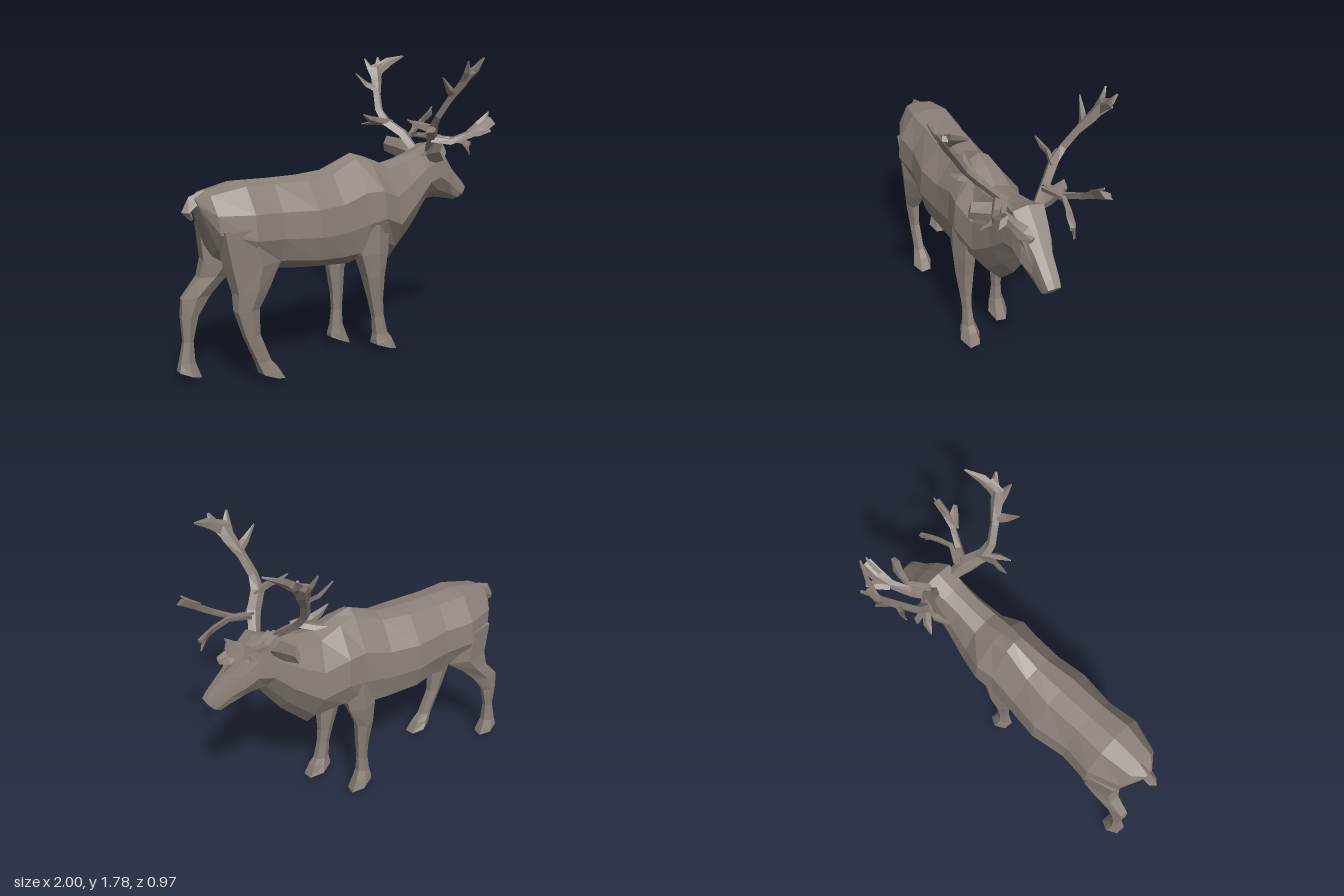
import * as THREE from 'three';

const coat = new THREE.MeshStandardMaterial({ color: 0x8a8078 });
coat.name = 'greyBrownCoat';

// Closed faceted skin over a list of rings with equal point counts.
function loft(name, rings) {
  const tris = [];
  const n = rings[0].length;
  for (let i = 0; i < rings.length - 1; i++) {
    for (let j = 0; j < n; j++) {
      const k = (j + 1) % n;
      const a = rings[i][j], b = rings[i][k], c = rings[i + 1][k], d = rings[i + 1][j];
      tris.push([a, b, c], [a, c, d]);
    }
  }
  const first = rings[0], last = rings[rings.length - 1];
  for (let j = 1; j < n - 1; j++) {
    tris.push([first[0], first[j + 1], first[j]], [last[0], last[j], last[j + 1]]);
  }
  // Turn every face outward, using the signed volume
  let volume = 0;
  for (const [a, b, c] of tris) volume += a.dot(b.clone().cross(c));
  const pos = [];
  for (const [a, b, c] of tris) {
    for (const p of volume < 0 ? [a, c, b] : [a, b, c]) pos.push(p.x, p.y, p.z);
  }
  const geo = new THREE.BufferGeometry();
  geo.setAttribute('position', new THREE.Float32BufferAttribute(pos, 3));
  geo.computeVertexNormals();
  const mesh = new THREE.Mesh(geo, coat);
  mesh.name = name;
  return mesh;
}

// Trunk section: top point, bottom point, half width, upper and lower fullness.
function trunkRing([xt, yt, xb, yb, w, up, low]) {
  const half = [[0.04, up], [0.32, 0.93], [0.6, 1], [0.85, low]];
  const at = (t, z) => new THREE.Vector3(xt + (xb - xt) * t, yt + (yb - yt) * t, z * w);
  return [
    at(0, 0), ...half.map(([t, z]) => at(t, z)),
    at(1, 0), ...half.map(([t, z]) => at(t, -z)).reverse(),
  ];
}

// Leg from level six-sided sections: back x, front x, y, centre z, half depth, slope.
function leg(name, side, sections) {
  return loft(name, sections.map(([x0, x1, y, z, hz, slope = 0]) => {
    const cx = (x0 + x1) / 2, hx = (x1 - x0) / 2;
    return [[1, 0.45], [0.1, 1], [-0.9, 0.55], [-1, -0.45], [-0.1, -1], [0.9, -0.55]].map(
      ([u, v]) => new THREE.Vector3(cx + u * hx, y + slope * u * hx, side * (z + v * hz)));
  }));
}

// Flattened tapering branch: points [x, y, z, half width], broad across its normal.
function branch(name, side, normal, thick, pts) {
  const p = pts.map(([x, y, z]) => new THREE.Vector3(x, y, z * side));
  const nrm = new THREE.Vector3(normal[0], normal[1], normal[2] * side);
  return loft(name, p.map((c, i) => {
    const t = p[Math.min(i + 1, p.length - 1)].clone().sub(p[Math.max(i - 1, 0)]).normalize();
    const s = t.clone().cross(nrm).normalize();
    const m = s.clone().cross(t);
    const w = pts[i][3];
    const h = Math.min(thick, w);
    return [[w, 0], [0, h], [-w, 0], [0, -h]].map(
      ([a, b]) => c.clone().addScaledVector(s, a).addScaledVector(m, b));
  }));
}

function antler(side) {
  const g = new THREE.Group();
  g.name = side > 0 ? 'leftAntler' : 'rightAntler';
  const add = (name, normal, thick, pts) => g.add(branch(name, side, normal, thick, pts));
  const out = [0, -0.55, 0.83];
  // Main beam and its palm
  add('mainBeam', out, 0.022, [
    [0.64, 1.2, 0.07, 0.035], [0.6, 1.3, 0.14, 0.04], [0.53, 1.37, 0.22, 0.04],
    [0.52, 1.44, 0.28, 0.03], [0.55, 1.54, 0.34, 0.028], [0.59, 1.63, 0.4, 0.04],
    [0.61, 1.69, 0.435, 0.045], [0.67, 1.73, 0.44, 0.02]]);
  add('palmRearTine', out, 0.012, [
    [0.59, 1.64, 0.41, 0.035], [0.575, 1.7, 0.45, 0.025], [0.555, 1.76, 0.48, 0.006]]);
  add('palmMiddleTine', out, 0.012, [
    [0.61, 1.67, 0.42, 0.04], [0.65, 1.71, 0.45, 0.03], [0.665, 1.765, 0.48, 0.008]]);
  add('palmFrontTine', out, 0.012, [
    [0.61, 1.68, 0.43, 0.04], [0.7, 1.74, 0.41, 0.03], [0.79, 1.775, 0.37, 0.006]]);
  add('upperBackTine', out, 0.012, [
    [0.56, 1.57, 0.36, 0.03], [0.5, 1.6, 0.39, 0.022], [0.43, 1.67, 0.41, 0.004]]);
  // Backward tines low on the beam
  add('lowerBackTine', [0, 0.5, 0.85], 0.015, [
    [0.56, 1.36, 0.2, 0.025], [0.45, 1.38, 0.23, 0.028], [0.4, 1.395, 0.22, 0.02],
    [0.34, 1.425, 0.21, 0.004]]);
  add('lowerBackPoint', [0, 0.9, 0.4], 0.012, [
    [0.52, 1.37, 0.23, 0.025], [0.46, 1.36, 0.28, 0.025], [0.4, 1.355, 0.31, 0.004]]);
  // Forward tines over the face
  add('browTine', [0, 0.75, 0.65], 0.018, [
    [0.6, 1.29, 0.13, 0.035], [0.7, 1.27, 0.19, 0.028], [0.8, 1.31, 0.245, 0.028],
    [0.88, 1.355, 0.27, 0.045], [0.955, 1.4, 0.275, 0.045]]);
  add('browTineUpperPoint', [0, 0.6, 0.8], 0.01, [
    [0.87, 1.36, 0.26, 0.03], [0.92, 1.4, 0.26, 0.022], [0.955, 1.445, 0.26, 0.004]]);
  add('browTineOuterPoint', [0, 0.85, 0.5], 0.01, [
    [0.8, 1.31, 0.25, 0.03], [0.85, 1.32, 0.3, 0.03], [0.885, 1.34, 0.35, 0.012]]);
  add('faceTine', [0, 0.7, 0.7], 0.016, [
    [0.63, 1.29, 0.11, 0.03], [0.74, 1.28, 0.17, 0.022], [0.83, 1.265, 0.15, 0.03],
    [0.89, 1.25, 0.13, 0.04], [0.94, 1.235, 0.11, 0.02]]);
  add('faceTineLowerPoint', [0, 0.5, 0.85], 0.01, [
    [0.84, 1.265, 0.15, 0.025], [0.9, 1.22, 0.14, 0.025], [0.93, 1.165, 0.13, 0.005]]);
  return g;
}

export function createModel() {
  const model = new THREE.Group();
  model.name = 'deer';

  // Trunk, neck and head in one skin, rump to nose
  model.add(loft('bodyAndHead', [
    [-0.94, 1.07, -0.91, 0.95, 0.05, 0.5, 0.6],
    [-0.88, 1.1, -0.84, 0.74, 0.15, 0.55, 0.6],
    [-0.68, 1.14, -0.68, 0.64, 0.22, 0.5, 0.75],
    [-0.5, 1.135, -0.5, 0.62, 0.2, 0.5, 0.8],
    [-0.28, 1.135, -0.28, 0.59, 0.23, 0.45, 0.85],
    [-0.1, 1.15, -0.08, 0.57, 0.205, 0.4, 0.85],
    [0.08, 1.23, 0.08, 0.56, 0.195, 0.3, 0.85],
    [0.18, 1.2, 0.22, 0.62, 0.21, 0.35, 0.75],
    [0.31, 1.15, 0.38, 0.55, 0.165, 0.5, 0.5],
    [0.45, 1.175, 0.55, 0.72, 0.13, 0.55, 0.5],
    [0.56, 1.2, 0.67, 0.89, 0.115, 0.65, 0.5],
    [0.68, 1.25, 0.74, 0.895, 0.105, 0.85, 0.6],
    [0.78, 1.165, 0.8, 0.885, 0.095, 0.75, 0.6],
    [0.86, 1.075, 0.87, 0.87, 0.062, 0.8, 0.75],
    [0.965, 0.975, 0.92, 0.86, 0.052, 0.8, 0.8],
    [0.995, 0.94, 0.94, 0.87, 0.045, 0.8, 0.7],
  ].map(trunkRing)));

  // Tail
  model.add(branch('tail', 1, [0, 0, 1], 0.035, [
    [-0.86, 1.06, 0, 0.05], [-0.94, 1.03, 0, 0.055], [-0.98, 0.995, 0, 0.03], [-0.95, 0.955, 0, 0.01]]));

  // Legs, caught in mid stride
  model.add(leg('leftForeleg', 1, [
    [0.02, 0.26, 0.82, 0.12, 0.08], [0.04, 0.25, 0.64, 0.13, 0.07], [0.09, 0.23, 0.5, 0.13, 0.06],
    [0.135, 0.225, 0.34, 0.13, 0.04], [0.16, 0.235, 0.24, 0.13, 0.032], [0.17, 0.26, 0.13, 0.13, 0.04],
    [0.165, 0.29, 0.09, 0.13, 0.052], [0.165, 0.325, 0.04, 0.13, 0.066, -0.35]]));
  model.add(leg('rightForeleg', -1, [
    [-0.02, 0.22, 0.82, 0.12, 0.08], [0, 0.18, 0.64, 0.13, 0.07], [0.01, 0.12, 0.5, 0.13, 0.055],
    [0.035, 0.11, 0.34, 0.125, 0.04], [0.04, 0.105, 0.24, 0.125, 0.032], [0.03, 0.11, 0.14, 0.125, 0.04],
    [0.02, 0.13, 0.09, 0.13, 0.052], [0.02, 0.165, 0.035, 0.13, 0.062, -0.45]]));
  model.add(leg('leftHindLeg', 1, [
    [-0.86, -0.54, 0.9, 0.12, 0.09], [-0.82, -0.5, 0.7, 0.12, 0.085], [-0.78, -0.58, 0.55, 0.13, 0.065],
    [-0.78, -0.64, 0.45, 0.135, 0.045], [-0.73, -0.635, 0.3, 0.135, 0.035], [-0.66, -0.57, 0.14, 0.135, 0.035],
    [-0.64, -0.53, 0.09, 0.135, 0.05], [-0.63, -0.485, 0.04, 0.135, 0.064, -0.35]]));
  model.add(leg('rightHindLeg', -1, [
    [-0.87, -0.56, 0.9, 0.12, 0.09], [-0.85, -0.55, 0.7, 0.12, 0.085], [-0.87, -0.68, 0.6, 0.13, 0.065],
    [-0.97, -0.79, 0.49, 0.135, 0.045], [-0.975, -0.87, 0.38, 0.135, 0.038], [-0.965, -0.905, 0.24, 0.135, 0.03],
    [-0.99, -0.9, 0.12, 0.135, 0.042], [-1.0, -0.865, 0.045, 0.135, 0.064, -0.4]]));

  // Ears and antlers
  for (const side of [1, -1]) {
    model.add(branch(side > 0 ? 'leftEar' : 'rightEar', side, [1, 0, 0.3], 0.02, [
      [0.63, 1.18, 0.07, 0.035], [0.6, 1.205, 0.17, 0.06], [0.57, 1.225, 0.275, 0.05]]));
    model.add(antler(side));
  }
  return model;
}
